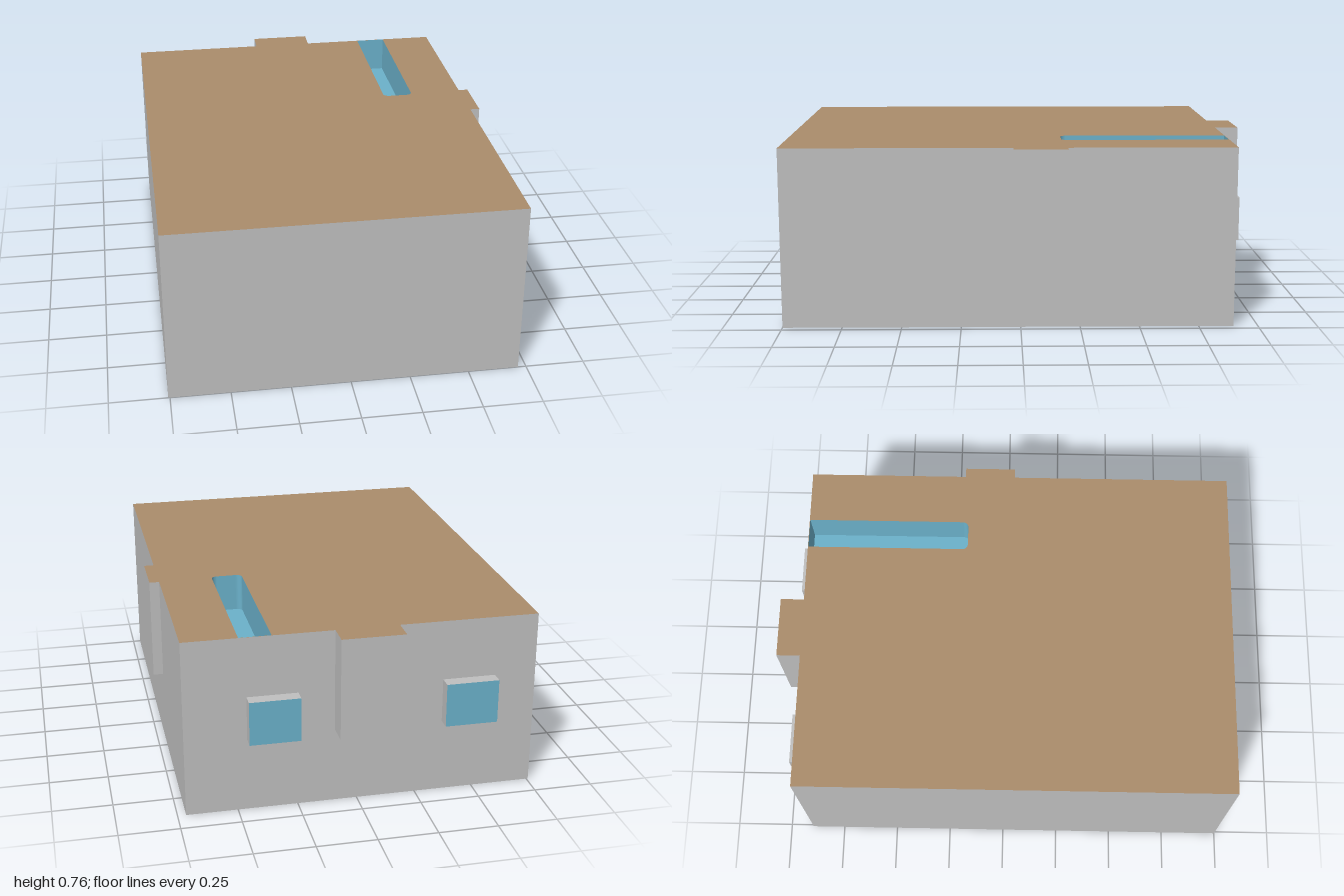
import * as THREE from 'three';

const H = 0.76, X0 = -0.757, X1 = 0.715, Z0 = -0.897, Z1 = 1;

export function createModel() {
  const model = new THREE.Group();
  model.name = 'building';
  const material = (name, color) => new THREE.MeshStandardMaterial({ name, color });
  const wall = material('wallGrey', 0xbfbfbf);
  const deck = material('deckBrown', 0xaa8c6b);
  const blue = material('waterBlue', 0x6bb1ca);

  function add(name, geometry, mat) {
    const mesh = new THREE.Mesh(geometry, mat);
    mesh.name = name;
    model.add(mesh);
    return mesh;
  }

  // Box given by its limits; the top can be left open for the roof sheet
  function block(name, x0, x1, y0, y1, z0, z1, mat, openTop = false) {
    const g = new THREE.BoxGeometry(x1 - x0, y1 - y0, z1 - z0);
    g.translate((x0 + x1) / 2, (y0 + y1) / 2, (z0 + z1) / 2);
    if (openTop) {
      g.setIndex(Array.from(g.index.array).filter((_, i) => i < 12 || i >= 18));
      g.clearGroups();
    }
    return add(name, g, mat);
  }

  // Main volume and the two projecting bays
  block('body', X0, X1, 0, H, Z0, Z1, wall, true);
  block('sideBay', X1, 0.757, 0.325, H, -0.195, 0.03, wall, true);
  block('backBay', -0.17, 0.095, 0.325, H, -1, Z0, wall, true);

  // Window boxes with a blue pane on the outer face
  const faces = [wall, wall, wall, wall, wall, blue];
  for (const [name, x0, x1] of [['rightWindow', -0.582, -0.36], ['leftWindow', 0.245, 0.457]]) {
    block(name, x0, x1, 0.315, 0.503, -0.953, Z0, faces);
  }

  // Pool outline in plan (shape y is -z), rounded at its front end
  const px0 = 0.352, px1 = 0.485, back = -Z0 - 0.002, front = 0.177, r = 0.025;
  const pool = new THREE.Shape();
  pool.moveTo(px0, back);
  pool.lineTo(px0, front + r);
  pool.absarc(px0 + r, front + r, r, Math.PI, Math.PI * 1.5, false);
  pool.lineTo(px1 - r, front);
  pool.absarc(px1 - r, front + r, r, -Math.PI / 2, 0, false);
  pool.lineTo(px1, back);
  pool.closePath();

  // Roof sheet over body and bays, with the pool cut out
  const roof = new THREE.Shape([
    [X0, -Z1], [X1, -Z1], [X1, -0.03], [0.757, -0.03], [0.757, 0.195], [X1, 0.195],
    [X1, -Z0], [0.095, -Z0], [0.095, 1], [-0.17, 1], [-0.17, -Z0], [X0, -Z0],
  ].map(([x, y]) => new THREE.Vector2(x, y)));
  roof.holes.push(pool);
  add('roofDeck', new THREE.ShapeGeometry(roof, 6).rotateX(-Math.PI / 2).translate(0, H, 0), deck);

  // Pool floor and inward-facing walls
  const floorY = H - 0.16;
  add('poolFloor', new THREE.ShapeGeometry(pool, 6).rotateX(-Math.PI / 2).translate(0, floorY, 0), blue);
  const pts = pool.getPoints(6), positions = [];
  pts.forEach((a, i) => {
    const b = pts[(i + 1) % pts.length];
    if (a.distanceTo(b) < 1e-6) return;
    const al = [a.x, floorY, -a.y], au = [a.x, H, -a.y];
    const bl = [b.x, floorY, -b.y], bu = [b.x, H, -b.y];
    positions.push(...al, ...bu, ...bl, ...al, ...au, ...bu);
  });
  const walls = new THREE.BufferGeometry();
  walls.setAttribute('position', new THREE.Float32BufferAttribute(positions, 3));
  walls.computeVertexNormals();
  add('poolWalls', walls, blue);

  return model;
}
